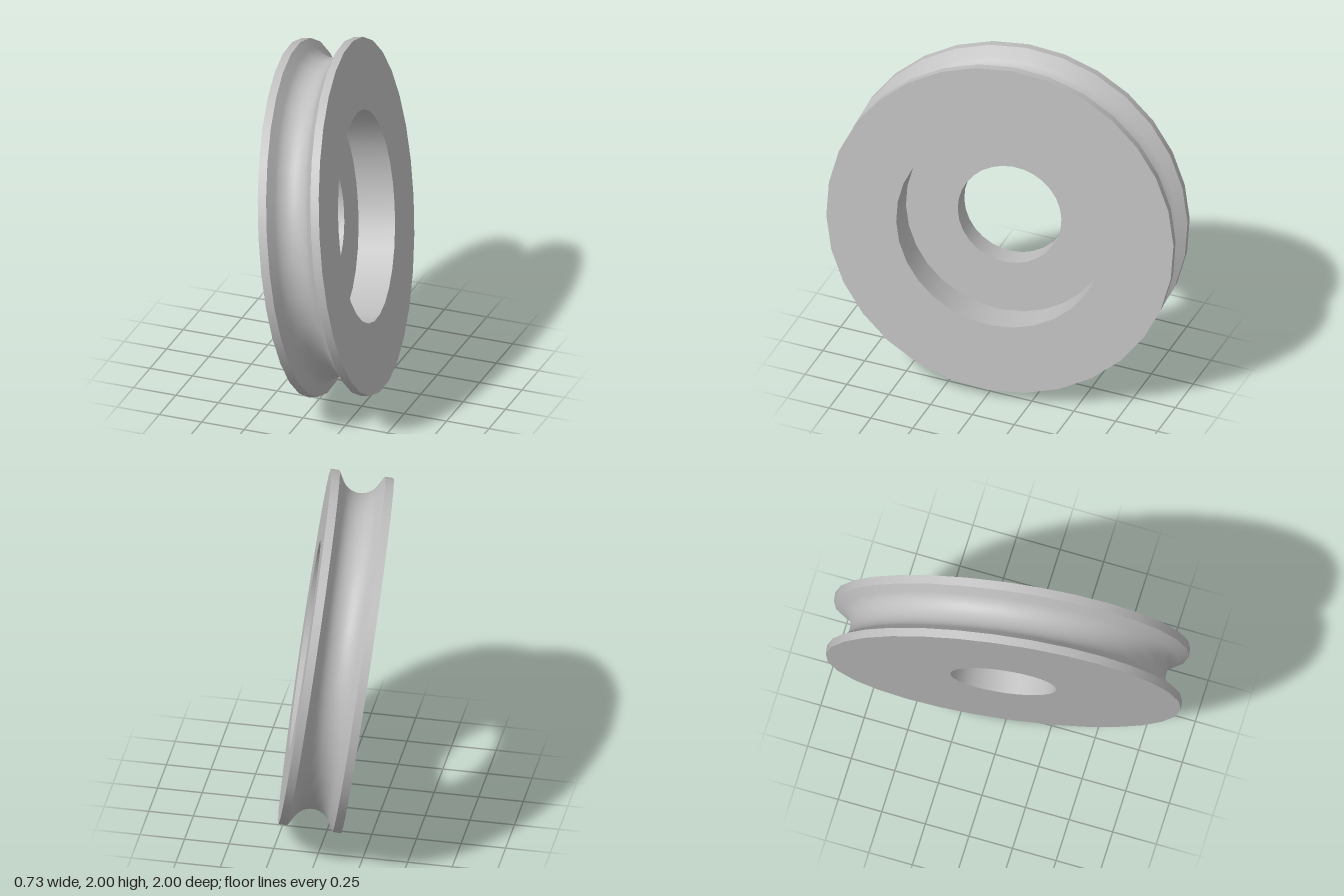
import * as THREE from 'three';

const SEGMENTS = 30;
const R = 0.988;        // flange radius
const H = 0.174;        // half thickness
const G = 0.126;        // half width of the groove mouth
const BORE = 0.295;
const RECESS = 0.59;
const FLOOR = H - 0.208; // height of the recess floor

export function createModel() {
  const grey = new THREE.MeshStandardMaterial({ color: 0xbfbfbf });
  grey.name = 'plain grey';

  const pulley = new THREE.Group();
  pulley.name = 'pulley';

  // Each section is its own lathe, so edges between sections stay sharp.
  const turn = (name, points) => {
    const profile = points.map(([r, y]) => new THREE.Vector2(r, y));
    const mesh = new THREE.Mesh(new THREE.LatheGeometry(profile, SEGMENTS), grey);
    mesh.name = name;
    pulley.add(mesh);
  };

  // Groove: round bottom running tangent into straight flanks
  const r = 0.108, bottom = R - 0.11;
  const groove = [[R, -G]];
  for (let i = -6; i <= 6; i++) {
    const a = (i / 6) * Math.PI / 3;
    groove.push([bottom + r * (1 - Math.cos(a)), r * Math.sin(a)]);
  }
  groove.push([R, G]);

  turn('plainFace', [[BORE, -H], [R, -H]]);
  turn('plainSideRim', [[R, -H], [R, -G]]);
  turn('ropeGroove', groove);
  turn('recessSideRim', [[R, G], [R, H]]);
  turn('recessedFace', [[R, H], [RECESS, H]]);
  turn('recessWall', [[RECESS, H], [RECESS, FLOOR]]);
  turn('recessFloor', [[RECESS, FLOOR], [BORE, FLOOR]]);
  turn('bore', [[BORE, FLOOR], [BORE, -H]]);

  // Tilt the axle direction
  const axis = new THREE.Vector3(0.981, 0.138, -0.138).normalize();
  pulley.quaternion.setFromUnitVectors(new THREE.Vector3(0, 1, 0), axis);
  pulley.position.y = 1;

  const model = new THREE.Group();
  model.name = 'grooved wheel';
  model.add(pulley);
  return model;
}
